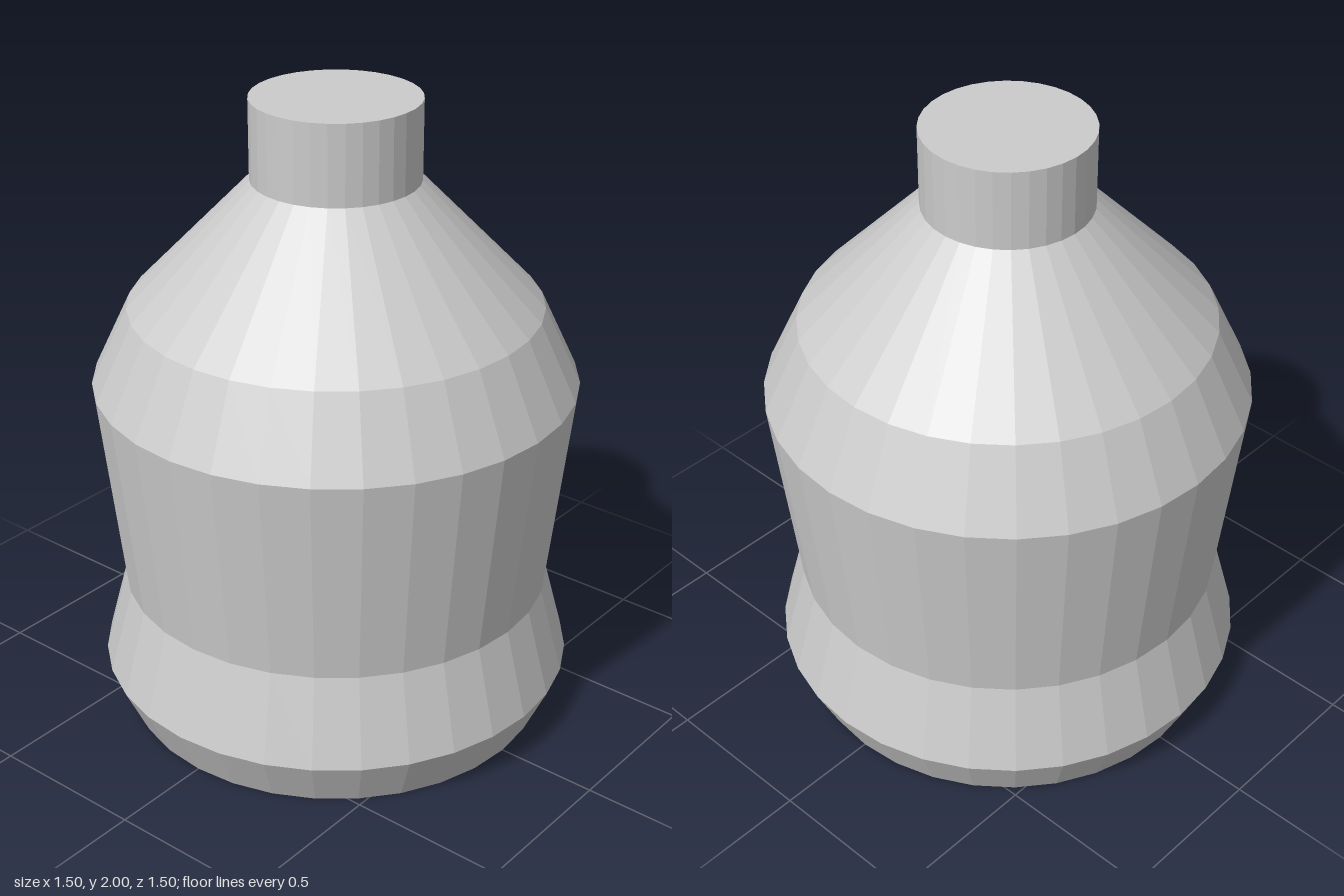
import * as THREE from 'three';

const SIDES = 32;

export function createModel() {
  const group = new THREE.Group();
  group.name = 'bottle';
  const material = new THREE.MeshStandardMaterial({ color: 0xcccccc, flatShading: true });

  // Turn a [radius, height] profile, listed from bottom to top, around the y axis
  const turn = (name, profile) => {
    const points = profile.map(([r, y]) => new THREE.Vector2(r, y));
    const mesh = new THREE.Mesh(new THREE.LatheGeometry(points, SIDES), material);
    mesh.name = name;
    group.add(mesh);
  };

  // Body: closed base, flared foot, waist, tapered wall and sloping shoulder
  turn('body', [
    [0, 0], [0.676, 0], [0.75, 0.16], [0.676, 0.44],
    [0.75, 1.113], [0.635, 1.357], [0.257, 1.75],
  ]);

  // Straight neck with a closed top
  turn('neck', [[0.257, 1.75], [0.257, 2], [0, 2]]);

  return group;
}
